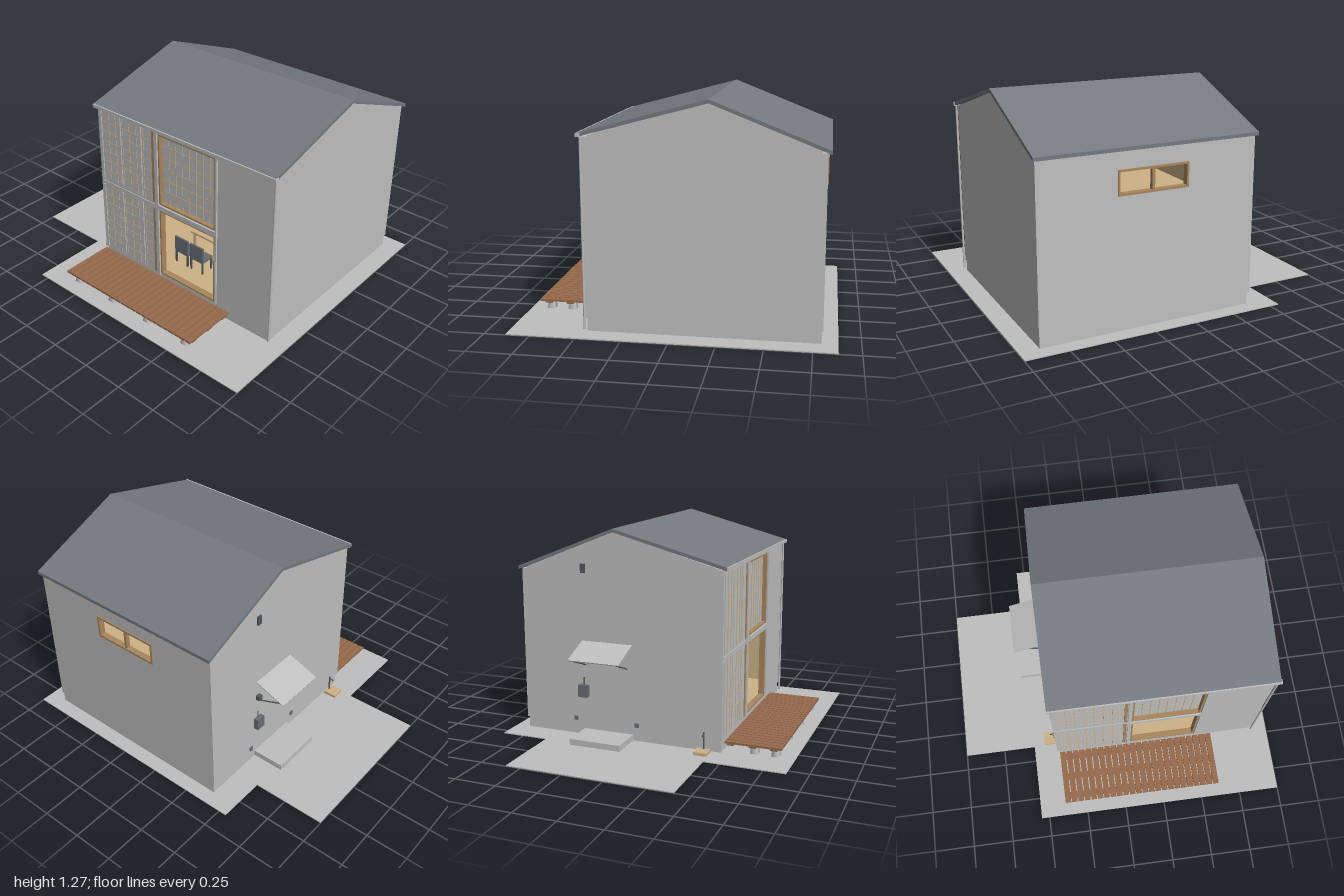
import * as THREE from 'three';

const mat = (name, color, side = THREE.FrontSide) => {
  const m = new THREE.MeshStandardMaterial({ color, side });
  m.name = name;
  return m;
};

export function createModel() {
  const wall = mat('light grey', 0xbfbfbf);
  const slate = mat('slate roof', 0x747a80);
  const deckWood = mat('deck brown', 0x976a4b);
  const paleWood = mat('pale wood', 0xcdb287);
  const frameWood = mat('frame wood', 0xa8865c);
  const dark = mat('dark metal', 0x55585c);
  const chairGrey = mat('chair grey', 0x686c72);

  const model = new THREE.Group();
  model.name = 'house';
  const group = (name) => {
    const g = new THREE.Group();
    g.name = name;
    model.add(g);
    return g;
  };
  const add = (name, geo, m, parent = model) => {
    const mesh = new THREE.Mesh(geo, m);
    mesh.name = name;
    parent.add(mesh);
    return mesh;
  };
  // Box given by its limits on each axis
  const box = (name, m, x0, x1, y0, y1, z0, z1, parent = model) =>
    add(name, new THREE.BoxGeometry(x1 - x0, y1 - y0, z1 - z0)
      .translate((x0 + x1) / 2, (y0 + y1) / 2, (z0 + z1) / 2), m, parent);
  const shapeOf = (pts) => new THREE.Shape(pts.map((p) => new THREE.Vector2(...p)));
  const rect = (x0, x1, y0, y1) => [[x0, y0], [x1, y0], [x1, y1], [x0, y1]];
  // Wall facing z, with rectangular openings
  const panel = (name, outline, holes, z, depth) => {
    const s = shapeOf(rect(...outline));
    holes.forEach((h) => s.holes.push(shapeOf(rect(...h).reverse())));
    const g = new THREE.ExtrudeGeometry(s, { depth, bevelEnabled: false });
    return add(name, g.translate(0, 0, z), wall);
  };
  // Profile given as [z, y], swept from x0 to x1
  const sweep = (name, pts, x0, x1, m) => {
    const s = shapeOf(pts.map(([z, y]) => [-z, y]));
    const g = new THREE.ExtrudeGeometry(s, { depth: x1 - x0, bevelEnabled: false });
    return add(name, g.rotateY(Math.PI / 2).translate(x0, 0, 0), m);
  };
  // Round bar between two points
  const bar = (name, a, b, r, m, parent = model) => {
    const p = new THREE.Vector3(...a), q = new THREE.Vector3(...b);
    const mesh = add(name, new THREE.CylinderGeometry(r, r, p.distanceTo(q), 8), m, parent);
    mesh.position.copy(p).add(q).multiplyScalar(0.5);
    mesh.quaternion.setFromUnitVectors(new THREE.Vector3(0, 1, 0), q.sub(p).normalize());
    return mesh;
  };
  // Four-sided frame around an opening
  const frame = (name, m, x0, x1, y0, y1, z0, z1, t) => {
    const g = group(name);
    box('frameSide', m, x0, x0 + t, y0, y1, z0, z1, g);
    box('frameSide', m, x1 - t, x1, y0, y1, z0, z1, g);
    box('frameRail', m, x0 + t, x1 - t, y0, y0 + t, z0, z1, g);
    box('frameRail', m, x0 + t, x1 - t, y1 - t, y1, z0, z1, g);
  };
  // Grid of thin strips
  const lattice = (name, m, x0, x1, y0, y1, cols, rows, z) => {
    const g = group(name);
    for (let i = 1; i < cols; i++) {
      const x = x0 + (x1 - x0) * i / cols;
      box('latticeUpright', m, x - 0.0015, x + 0.0015, y0, y1, z, z + 0.003, g);
    }
    for (let i = 1; i < rows; i++) {
      const y = y0 + (y1 - y0) * i / rows;
      box('latticeRail', m, x0, x1, y - 0.0015, y + 0.0015, z, z + 0.002, g);
    }
  };

  // Ground and foundation
  box('ground', wall, -0.55, 1, 0, 0.006, -0.88, 0.88);
  box('sideGround', wall, -1, -0.55, 0, 0.006, -0.59, 0.405);
  box('foundation', wall, -0.39, 0.885, 0.006, 0.077, -0.793, 0.458);

  // Walls
  const lower = [0.08, 0.5, 0.09, 0.545], upper = [0.08, 0.5, 0.585, 1.045];
  const backWindow = [0.02, 0.44, 0.76, 0.9];
  panel('frontWall', [-0.4, 0.89, 0.075, 1.064], [lower, upper], 0.435, 0.03);
  panel('backWall', [-0.4, 0.89, 0.075, 1.006], [backWindow], -0.8, 0.03);
  const gable = [[0.435, 0.075], [0.435, 1.07], [-0.2, 1.247], [-0.77, 1.018], [-0.77, 0.075]];
  sweep('leftGableWall', gable, 0.86, 0.89, wall);
  sweep('rightGableWall', gable, -0.4, -0.37, wall);

  // Roof and gutter
  sweep('roof', [[0.485, 1.083], [-0.2, 1.266], [-0.82, 1.02], [-0.82, 1.0],
    [-0.2, 1.246], [0.485, 1.063]], -0.41, 0.905, slate);
  box('gutter', wall, -0.41, 0.91, 1.062, 1.083, 0.467, 0.493);
  bar('downpipe', [0.897, 0.02, 0.47], [0.897, 1.065, 0.47], 0.007, wall);

  // Front frames, mid rail and wooden post
  box('midRail', wall, 0.05, 0.515, 0.548, 0.58, 0.46, 0.476);
  box('sideRail', wall, -0.385, 0.05, 0.555, 0.572, 0.46, 0.47);
  box('openingPost', wall, 0.503, 0.515, 0.08, 1.055, 0.46, 0.476);
  box('openingPost', wall, 0.055, 0.078, 0.08, 1.055, 0.46, 0.476);
  frame('doorFrame', frameWood, ...lower, 0.43, 0.468, 0.01);
  frame('upperWindowFrame', frameWood, ...upper, 0.43, 0.468, 0.01);
  box('upperScreen', wall, 0.09, 0.49, 0.595, 1.035, 0.432, 0.44);
  lattice('upperScreenLattice', paleWood, 0.09, 0.49, 0.595, 1.035, 8, 6, 0.44);
  for (const [y0, y1] of [[0.09, 0.545], [0.585, 1.045]]) {
    box('woodPost', frameWood, 0.032, 0.05, y0, y1, 0.465, 0.47);
    lattice('sideScreenLattice', paleWood, -0.37, 0.02, y0, y1, 7, 7, 0.465);
    for (const x of [-0.375, -0.22, -0.055])
      box('screenBatten', wall, x - 0.005, x + 0.005, y0, y1, 0.465, 0.471);
  }

  // Back window
  frame('backWindowFrame', frameWood, ...backWindow, -0.806, -0.77, 0.012);
  box('backWindowMullion', frameWood, 0.222, 0.238, 0.772, 0.888, -0.8, -0.775);

  // Interior shell
  box('groundFloor', paleWood, -0.369, 0.859, 0.077, 0.088, -0.769, 0.434);
  box('upperFloor', paleWood, -0.369, 0.859, 0.55, 0.575, -0.769, 0.434);
  box('backLining', paleWood, -0.369, 0.859, 0.088, 0.55, -0.769, -0.764);
  for (const x of [-0.369, 0.853])
    box('sideLining', paleWood, x, x + 0.006, 0.088, 1.0, -0.764, 0.434);
  box('partition', paleWood, 0.43, 0.455, 0.28, 0.55, -0.25, 0.1);
  box('column', wall, 0.38, 0.42, 0.088, 0.55, -0.3, -0.26);
  box('partition', wall, 0.46, 0.48, 0.28, 0.55, -0.1, 0.0);
  box('kitchenCounter', paleWood, -0.2, 0.15, 0.088, 0.24, -0.6, -0.45);
  box('counterTop', wall, -0.2, 0.15, 0.24, 0.25, -0.6, -0.45);

  // Dining table with dishes
  const table = group('table');
  box('tableTop', paleWood, 0.07, 0.37, 0.232, 0.245, -0.02, 0.18, table);
  for (const x of [0.085, 0.355]) for (const z of [0, 0.16])
    box('tableLeg', paleWood, x - 0.007, x + 0.007, 0.088, 0.232, z - 0.007, z + 0.007, table);
  for (let i = 0; i < 4; i++)
    add('dish', new THREE.CylinderGeometry(0.018, 0.014, 0.008, 12), dark, table)
      .position.set(0.13 + (i % 2) * 0.11, 0.249, 0.03 + Math.floor(i / 2) * 0.09);

  // Chairs, front pair facing the table
  for (const [x, z, s] of [[0.11, 0.27, 1], [0.23, 0.27, 1], [0.14, -0.1, -1], [0.27, -0.1, -1]]) {
    const chair = group('chair');
    box('chairSeat', chairGrey, -0.05, 0.05, 0.165, 0.18, -0.045, 0.045, chair);
    box('chairBack', chairGrey, -0.052, 0.052, 0.18, 0.275, 0.035, 0.047, chair);
    for (const lx of [-0.045, 0.045]) for (const lz of [-0.04, 0.04])
      box('chairLeg', dark, lx - 0.005, lx + 0.005, 0.088, 0.165, lz - 0.005, lz + 0.005, chair);
    chair.position.set(x, 0, z);
    chair.rotation.y = s > 0 ? 0 : Math.PI;
  }

  // Deck: planks, joists and tapered piers
  const deck = group('deck');
  const pitch = 1.005 / 24;
  for (let i = 0; i < 24; i++) {
    const x = -0.385 + i * pitch;
    box('deckPlank', deckWood, x, x + pitch - 0.006, 0.064, 0.077, 0.478, 0.812, deck);
  }
  for (const z of [0.51, 0.64, 0.765]) {
    box('deckJoist', deckWood, -0.38, 0.61, 0.053, 0.064, z - 0.02, z + 0.02, deck);
    if (z > 0.6) for (const x of [-0.32, -0.03, 0.255, 0.545])
      add('deckPier', new THREE.CylinderGeometry(0.023, 0.034, 0.048, 4, 1).rotateY(Math.PI / 4)
        .translate(x, 0.029, z), wall, deck);
  }

  // Entrance: step, canopy and struts
  box('entranceStep', wall, -0.59, -0.39, 0.006, 0.042, -0.41, -0.09);
  sweep('canopy', [[-0.09, 0], [-0.09, 0.006], [-0.41, 0.006], [-0.41, 0]].reverse(), -0.205, 0, wall);
  const canopy = model.children[model.children.length - 1];
  canopy.position.set(-0.398, 0.588, 0);
  canopy.rotation.z = Math.atan2(0.073, 0.19);
  for (const z of [-0.39, -0.12])
    bar('canopyStrut', [-0.58, 0.516, z], [-0.4, 0.447, z], 0.004, dark);

  // Side wall fittings
  box('meterBox', chairGrey, -0.43, -0.4, 0.25, 0.325, -0.43, -0.37);
  bar('meterPipe', [-0.405, 0.325, -0.4], [-0.405, 0.37, -0.4], 0.004, dark);
  box('wallLamp', dark, -0.424, -0.4, 0.465, 0.495, -0.415, -0.385);
  box('highVent', dark, -0.41, -0.4, 1.0, 1.055, -0.41, -0.38);
  for (const z of [-0.46, -0.06])
    box('lowVent', chairGrey, -0.408, -0.4, 0.095, 0.12, z - 0.012, z + 0.012);

  // Tap with wooden drain tray
  box('drainTray', paleWood, -0.48, -0.4, 0.006, 0.023, 0.32, 0.4);
  bar('tapPost', [-0.41, 0.02, 0.36], [-0.41, 0.125, 0.36], 0.005, dark);
  bar('tapSpout', [-0.41, 0.115, 0.36], [-0.435, 0.105, 0.36], 0.004, dark);

  return model;
}
